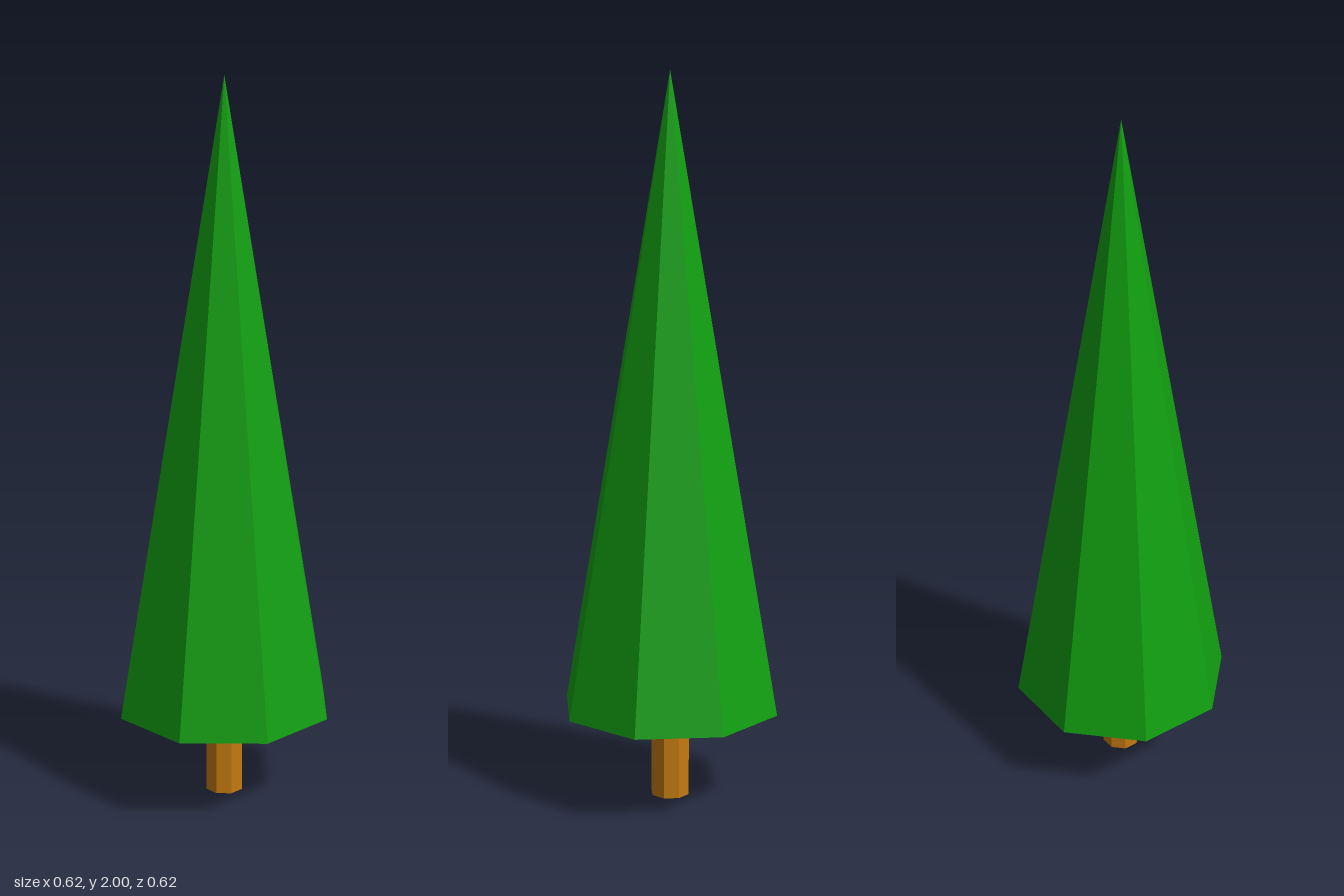
import * as THREE from 'three';

const SIDES = 8;

function addPart(group, name, geometry, color, y) {
  const material = new THREE.MeshStandardMaterial({ color, flatShading: true });
  const mesh = new THREE.Mesh(geometry, material);
  mesh.name = name;
  mesh.position.y = y;
  group.add(mesh);
}

export function createModel() {
  const tree = new THREE.Group();
  tree.name = 'tree';

  const crownBase = 0.255;
  const crownHeight = 2 - crownBase;

  // Octagonal trunk, standing on the ground and meeting the crown's underside
  addPart(tree, 'trunk', new THREE.CylinderGeometry(0.055, 0.055, crownBase, SIDES), 0xc47a10, crownBase / 2);

  // Tall eight-sided crown with a closed underside
  addPart(tree, 'crown', new THREE.ConeGeometry(0.309, crownHeight, SIDES), 0x11a011, crownBase + crownHeight / 2);

  return tree;
}
